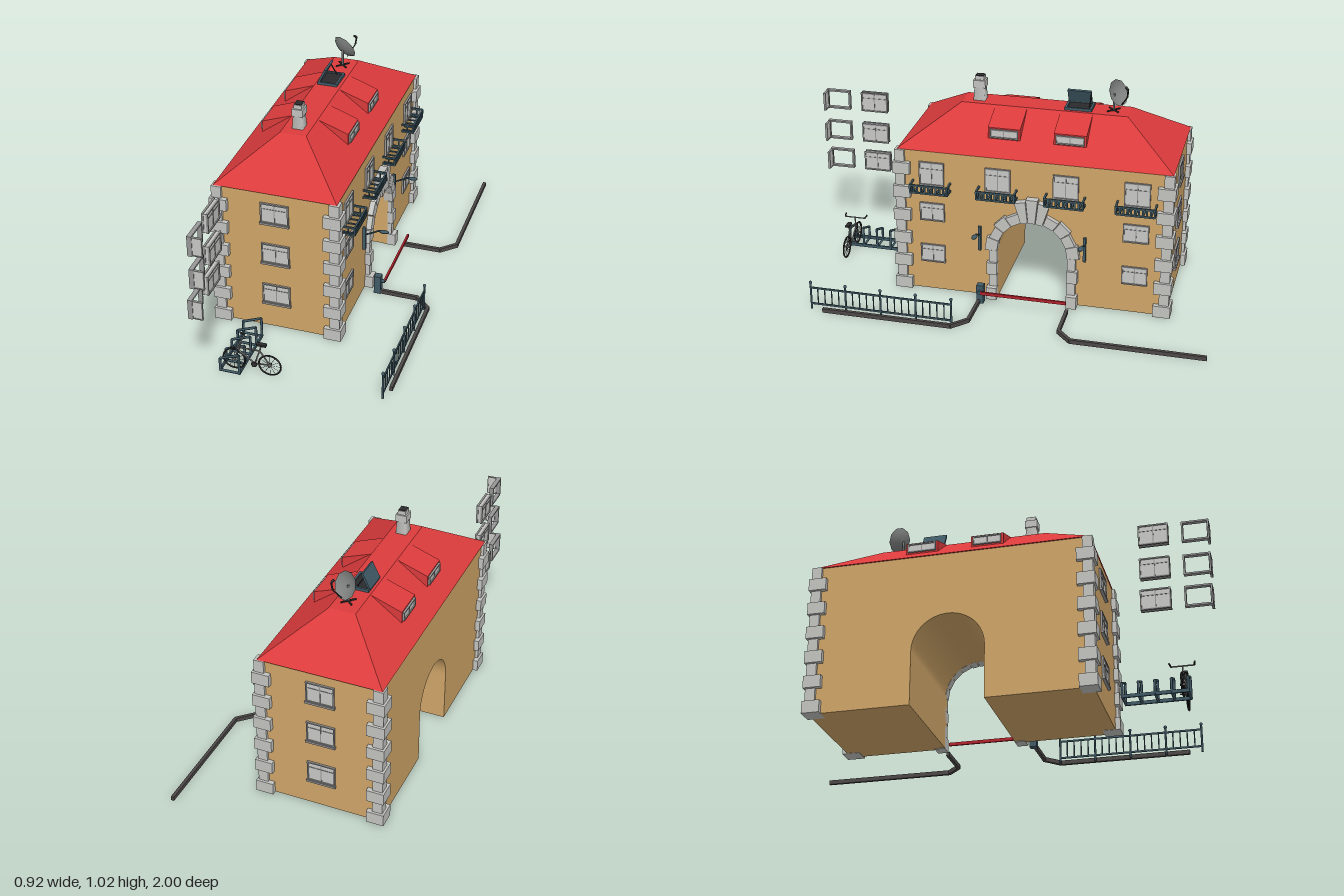
import * as THREE from 'three';
import { ConvexGeometry } from 'three/addons/geometries/ConvexGeometry.js';

const mat = (name, color, extra = {}) => Object.assign(new THREE.MeshStandardMaterial({ color, ...extra }), { name });
const V = (x, y, z) => new THREE.Vector3(x, y, z);

export function createModel() {
  const wall = mat('wall ochre', 0xcfa568), roofRed = mat('roof red', 0xdb3b3c);
  const stone = mat('stone grey', 0xc3c3c0), pane = mat('pane grey', 0xc8c8c6);
  const frameGrey = mat('frame grey', 0x979797), iron = mat('iron blue', 0x405a66);
  const black = mat('black', 0x2a2a2c), kerbGrey = mat('kerb grey', 0x4d4848);
  const steel = mat('steel grey', 0x7f8080, { side: THREE.DoubleSide }), barRed = mat('barrier red', 0xb5222c);
  const root = new THREE.Group();

  const group = (name, parent = root) => { const g = new THREE.Group(); g.name = name; parent.add(g); return g; };
  const add = (parent, name, geo, m) => { const o = new THREE.Mesh(geo, m); o.name = name; parent.add(o); return o; };
  // Box given by its min and max corners
  const box = (parent, name, m, x0, x1, y0, y1, z0, z1) => {
    const o = add(parent, name, new THREE.BoxGeometry(x1 - x0, y1 - y0, z1 - z0), m);
    o.position.set((x0 + x1) / 2, (y0 + y1) / 2, (z0 + z1) / 2);
    return o;
  };
  const rod = (parent, name, m, a, b, r = 0.004, sides = 6) => {
    const d = b.clone().sub(a);
    const o = add(parent, name, new THREE.CylinderGeometry(r, r, d.length(), sides), m);
    o.position.copy(a).addScaledVector(d, 0.5);
    o.quaternion.setFromUnitVectors(V(0, 1, 0), d.normalize());
    return o;
  };
  const hull = (parent, name, m, pts) => add(parent, name, new ConvexGeometry(pts), m);

  // Walls with the arched passage; shape u axis runs along -z
  const AC = 0.145, AR = 0.165, SPRING = 0.252;
  const s = new THREE.Shape();
  s.moveTo(-0.49, 0.003); s.lineTo(AC - AR, 0.003); s.lineTo(AC - AR, SPRING);
  s.absarc(AC, SPRING, AR, Math.PI, 0, true);
  s.lineTo(AC + AR, 0.003); s.lineTo(0.77, 0.003); s.lineTo(0.77, 0.71); s.lineTo(-0.49, 0.71);
  const body = add(root, 'walls', new THREE.ExtrudeGeometry(s, { depth: 0.56, bevelEnabled: false, curveSegments: 20 }), wall);
  body.rotation.y = Math.PI / 2; body.position.x = -0.44;

  // Hipped roof with flat top, and two dormers passing through it
  const roof = group('roof');
  const pts = [];
  for (const [x0, x1, y, z0, z1] of [[-0.447, 0.122, 0.71, -0.778, 0.495], [-0.222, -0.1, 0.877, -0.53, 0.245]])
    for (const x of [x0, x1]) for (const z of [z0, z1]) pts.push(V(x, y, z));
  hull(roof, 'mainRoof', roofRed, pts);
  for (const zc of [0.01, -0.295]) {
    const p = [];
    for (const z of [zc - 0.075, zc + 0.075])
      for (const [x, y] of [[-0.367, 0.76], [0.042, 0.76], [0.042, 0.824], [-0.1, 0.876], [-0.222, 0.876], [-0.367, 0.824]]) p.push(V(x, y, z));
    hull(roof, 'dormer', roofRed, p);
    for (const [x, d] of [[0.042, 1], [-0.367, -1]]) {
      const w = makeWindow(0.125, 0.036, false, roof);
      w.position.set(x, 0.797, zc); w.rotation.y = d * Math.PI / 2;
    }
  }

  // Window facing +z, centred on its opening
  function makeWindow(w, h, sill, parent = root) {
    const g = group('window', parent), b = 0.006;
    box(g, 'glass', pane, -w / 2, w / 2, -h / 2, h / 2, 0, 0.004);
    for (const k of [-1, 1]) {
      box(g, 'frameSide', frameGrey, k * w / 2 - b / 2, k * w / 2 + b / 2, -h / 2, h / 2, 0, 0.009);
      box(g, 'frameRail', frameGrey, -w / 2 - b / 2, w / 2 + b / 2, k * h / 2 - b / 2, k * h / 2 + b / 2, 0, 0.009);
    }
    box(g, 'mullion', frameGrey, -0.002, 0.002, -h / 2, h / 2, 0, 0.006);
    if (h > 0.05) box(g, 'transom', frameGrey, -w / 2, w / 2, h * 0.2, h * 0.2 + 0.003, 0, 0.006);
    if (sill) box(g, 'sill', frameGrey, -w / 2 - 0.006, w / 2 + 0.006, -h / 2 - 0.01, -h / 2, 0, 0.014);
    return g;
  }
  for (const y of [0.61, 0.4, 0.183]) {
    makeWindow(0.125, 0.095, true).position.set(-0.165, y, 0.49);
    const w = makeWindow(0.125, 0.095, true);
    w.position.set(-0.165, y, -0.77); w.rotation.y = Math.PI;
  }
  const cols = [0.332, 0.02, -0.295, -0.62];
  cols.forEach((z, i) => {
    for (const y of i % 3 ? [0.6] : [0.6, 0.407, 0.192]) {
      const w = makeWindow(0.112, y === 0.6 ? 0.11 : 0.085, false);
      w.position.set(0.12, y, z); w.rotation.y = Math.PI / 2;
    }
  });

  // Balconies
  for (const z of cols) {
    const g = group('balcony'), a = z - 0.088, b = z + 0.088, x = 0.178;
    for (const y of [0.524, 0.56]) {
      box(g, 'rail', iron, x - 0.004, x + 0.004, y - 0.004, y + 0.004, a, b);
      for (const e of [a, b]) box(g, 'sideRail', iron, 0.12, x, y - 0.004, y + 0.004, e - 0.004, e + 0.004);
    }
    for (let i = 0; i <= 10; i++) {
      const zz = a + (b - a) * i / 10;
      box(g, 'baluster', iron, x - 0.003, x + 0.003, 0.524, 0.56, zz - 0.004, zz + 0.004);
      if (i % 2) box(g, 'floorBar', iron, 0.12, x, 0.52, 0.525, zz - 0.004, zz + 0.004);
    }
    for (const e of [a, b]) box(g, 'sideBaluster', iron, 0.146, 0.152, 0.524, 0.56, e - 0.003, e + 0.003);
  }

  // Corner stones, alternately long and short
  const quoins = group('cornerStones'), H = 0.71 / 12;
  for (const [cx, sx] of [[-0.44, -1], [0.12, 1]]) for (const [cz, sz] of [[-0.77, -1], [0.49, 1]])
    for (let i = 0; i < 12; i++) {
      const big = i % 2 === 0, out = big ? 0.023 : 0.014, inn = big ? 0.058 : 0.032;
      const X = [cx + sx * out, cx - sx * inn].sort((a, b) => a - b), Z = [cz + sz * out, cz - sz * inn].sort((a, b) => a - b);
      box(quoins, 'cornerStone', stone, ...X, i * H + 0.002, (i + 1) * H, ...Z);
    }

  // Arch stones: legs, then wedges, with three tall ones at the crown
  const arch = group('archStones');
  for (const k of [-1, 1]) for (let i = 0; i < 4; i++) {
    const o = i % 2 ? 0.204 : 0.214, h = SPRING / 4;
    const Z = [-AC + k * AR, -AC + k * o].sort((a, b) => a - b);
    box(arch, 'legStone', stone, 0.1, i ? (i % 2 ? 0.14 : 0.148) : 0.16, i * h, (i + 1) * h - 0.002, ...Z);
  }
  const cuts = [0, 18, 36, 54, 72, 84, 96, 108, 126, 144, 162, 180];
  for (let i = 0; i < 11; i++) {
    const tall = i > 3 && i < 7, p = [];
    const R = tall ? (i === 5 ? 0.282 : 0.27) : (i % 2 ? 0.212 : 0.222);
    for (const a of [cuts[i] + 0.4, cuts[i + 1] - 0.4]) for (const r of [AR, R]) for (const x of [0.1, tall ? 0.155 : 0.145]) {
      const t = a * Math.PI / 180;
      p.push(V(x, SPRING + r * Math.sin(t), -AC + r * Math.cos(t)));
    }
    hull(arch, 'wedgeStone', stone, p);
  }

  // Wall lamps beside the arch
  for (const z of [0.105, -0.388]) {
    const g = group('wallLamp');
    box(g, 'bracket', iron, 0.12, 0.135, 0.24, 0.36, z - 0.006, z + 0.006);
    const c = new THREE.CatmullRomCurve3([V(0.13, 0.32, z), V(0.165, 0.337, z), V(0.195, 0.353, z), V(0.215, 0.355, z)]);
    add(g, 'arm', new THREE.TubeGeometry(c, 8, 0.004, 6), iron);
    const head = add(g, 'lampHead', new THREE.SphereGeometry(0.024, 10, 6), iron);
    head.scale.set(1, 0.3, 0.55); head.position.set(0.222, 0.353, z);
  }

  // Chimney
  const ch = group('chimney');
  const stack = add(ch, 'stack', new THREE.CylinderGeometry(0.026, 0.036, 0.13, 4, 1).rotateY(Math.PI / 4).scale(1.05, 1, 1.15), stone);
  stack.position.set(-0.157, 0.915, 0.17); stack.material = stone;
  box(ch, 'lip', stone, -0.183, -0.131, 0.94, 0.975, 0.141, 0.199);
  box(ch, 'crown', stone, -0.176, -0.138, 0.975, 0.994, 0.148, 0.192);
  box(ch, 'flue', black, -0.173, -0.141, 0.992, 0.997, 0.151, 0.189);

  // Open roof hatch
  const hatch = group('roofHatch');
  box(hatch, 'opening', black, -0.2, -0.125, 0.87, 0.884, -0.35, -0.245);
  for (const z of [-0.355, -0.24]) box(hatch, 'hatchSide', iron, -0.205, -0.12, 0.87, 0.89, z - 0.005, z + 0.005);
  for (const x of [-0.205, -0.12]) box(hatch, 'hatchEnd', iron, x - 0.005, x + 0.005, 0.87, 0.89, -0.36, -0.235);
  const lid = box(hatch, 'lid', iron, -0.005, 0.005, -0.04, 0.04, -0.055, 0.055);
  lid.position.set(-0.19, 0.919, -0.292); lid.rotation.z = -0.46;
  rod(hatch, 'stay', black, V(-0.15, 0.885, -0.345), V(-0.18, 0.935, -0.345), 0.003);

  // Satellite dish
  const dish = group('satelliteDish');
  rod(dish, 'mast', steel, V(-0.157, 0.87, -0.455), V(-0.157, 0.96, -0.455), 0.005);
  for (const k of [-1, 1]) rod(dish, 'foot', black, V(-0.157 - 0.025, 0.882, -0.455 + k * 0.025), V(-0.157 + 0.025, 0.882, -0.455 - k * 0.025), 0.004);
  const n = V(0.4, 0.42, -0.8).normalize();
  const bowl = add(dish, 'bowl', new THREE.LatheGeometry([[0.0001, 0], [0.025, 0.004], [0.045, 0.012], [0.063, 0.025]].map(q => new THREE.Vector2(...q)), 10), steel);
  bowl.position.set(-0.162, 0.958, -0.455); bowl.quaternion.setFromUnitVectors(V(0, 1, 0), n);
  rod(dish, 'feedArm', black, V(-0.145, 0.91, -0.49), V(-0.115, 0.965, -0.522), 0.003);
  rod(dish, 'feedStem', black, V(-0.115, 0.965, -0.522), V(-0.11, 1.0, -0.525), 0.004);
  rod(dish, 'feedHead', black, V(-0.11, 1.0, -0.525), V(-0.118, 1.012, -0.513), 0.006);

  // Kerbs
  const kerbs = group('kerbs');
  for (const path of [[[0.2, -0.325], [0.385, -0.325], [0.453, -0.39], [0.453, -1]], [[0.2, 0.092], [0.385, 0.095], [0.453, 0.16], [0.453, 0.77]]])
    for (let i = 0; i < 3; i++) {
      const [[x0, z0], [x1, z1]] = [path[i], path[i + 1]];
      const L = Math.hypot(x1 - x0, z1 - z0);
      const o = add(kerbs, 'kerb', new THREE.BoxGeometry(L + (i === 1 ? 0.008 : 0), 0.02, 0.015), kerbGrey);
      o.position.set((x0 + x1) / 2, 0.01, (z0 + z1) / 2); o.rotation.y = -Math.atan2(z1 - z0, x1 - x0);
    }

  // Barrier
  const bar = group('barrier');
  box(bar, 'barrierPost', iron, 0.175, 0.207, 0, 0.093, 0.07, 0.103);
  rod(bar, 'pivot', iron, V(0.2, 0.064, 0.086), V(0.224, 0.064, 0.086), 0.009);
  box(bar, 'barrierArm', barRed, 0.217, 0.226, 0.056, 0.071, -0.325, 0.08);

  // Fence
  const fence = group('fence'), fx = 0.434;
  for (const y of [0.028, 0.11]) box(fence, 'fenceRail', iron, fx - 0.003, fx + 0.003, y - 0.004, y + 0.004, 0.16, 0.83);
  for (let i = 0; i <= 20; i++) {
    const z = 0.16 + i * 0.0335;
    if (i % 5) { rod(fence, 'fenceBar', iron, V(fx, 0.028, z), V(fx, 0.11, z), 0.003); continue; }
    rod(fence, 'fencePost', iron, V(fx, 0, z), V(fx, 0.135, z), 0.005);
    add(fence, 'finial', new THREE.SphereGeometry(0.008, 8, 6), iron).position.set(fx, 0.136, z);
  }

  // Bicycle rack
  const rack = group('bicycleRack');
  for (const x of [-0.296, -0.207]) box(rack, 'rackRail', iron, x - 0.004, x + 0.004, 0, 0.015, 0.58, 0.868);
  for (let i = 0; i < 5; i++) {
    const z = 0.584 + i * 0.07, q = [V(-0.296, 0.006, z), V(-0.296, 0.068, z), V(-0.207, 0.104, z), V(-0.207, 0.006, z)];
    q.forEach((p, j) => rod(rack, 'hoop', iron, p, q[(j + 1) % 4], 0.006));
  }

  // Bicycle
  const bike = group('bicycle'), B = (x, y, z = 0) => V(x, y, 0.835 + z);
  const hubs = [B(-0.24, 0.06), B(-0.075, 0.06)];
  for (const h of hubs) {
    add(bike, 'tyre', new THREE.TorusGeometry(0.051, 0.004, 6, 20), black).position.copy(h);
    for (let i = 0; i < 6; i++) {
      const d = V(Math.cos(i * Math.PI / 6), Math.sin(i * Math.PI / 6), 0).multiplyScalar(0.05);
      rod(bike, 'spokes', black, h.clone().sub(d), h.clone().add(d), 0.001, 4);
    }
    rod(bike, 'hub', steel, h.clone().add(V(0, 0, -0.012)), h.clone().add(V(0, 0, 0.012)), 0.006);
  }
  const crank = B(-0.145, 0.055), head = B(-0.212, 0.125), low = B(-0.217, 0.11), seat = B(-0.12, 0.128);
  for (const [a, b] of [[head, seat], [low, crank], [crank, seat], [crank, hubs[1]], [seat, hubs[1]], [hubs[0], head], [head, B(-0.206, 0.155)], [seat, B(-0.112, 0.16)]])
    rod(bike, 'frameTube', steel, a, b, 0.0035);
  rod(bike, 'handlebar', steel, B(-0.208, 0.158, -0.05), B(-0.208, 0.158, 0.05), 0.0035);
  for (const k of [-1, 1]) rod(bike, 'grip', black, B(-0.208, 0.158, k * 0.05), B(-0.232, 0.164, k * 0.055), 0.004);
  box(bike, 'saddle', black, -0.133, -0.088, 0.159, 0.168, 0.825, 0.845);
  rod(bike, 'chainring', black, B(-0.145, 0.055, 0.006), B(-0.145, 0.055, 0.01), 0.014, 12);
  rod(bike, 'pedalAxle', steel, B(-0.145, 0.055, -0.025), B(-0.145, 0.055, 0.025), 0.003);

  // Loose window units: one closed, one empty frame with its sash swung out
  for (const [y, x] of [[0.728, -0.345], [0.566, -0.345], [0.408, -0.36]]) {
    const closed = group('closedWindow');
    box(closed, 'core', pane, x - 0.01, x + 0.002, y - 0.045, y + 0.045, 0.692, 0.818);
    for (const d of [-1, 1]) {
      const w = makeWindow(0.126, 0.09, false, closed);
      w.position.set(d > 0 ? x + 0.002 : x - 0.01, y, 0.755); w.rotation.y = d * Math.PI / 2;
    }
    const open = group('openWindow'), t = 0.008;
    for (const z of [0.878, 0.99]) box(open, 'jamb', frameGrey, x - 0.01, x + 0.01, y - 0.048, y + 0.048, z, z + t);
    for (const k of [-0.048, 0.04]) box(open, 'lintel', frameGrey, x - 0.01, x + 0.01, y + k, y + k + t, 0.878, 0.998);
    box(open, 'sash', pane, x + 0.008, x + 0.055, y - 0.042, y + 0.044, 0.989, 0.995);
    for (const X of [x + 0.008, x + 0.052]) box(open, 'sashEdge', frameGrey, X, X + 0.004, y - 0.044, y + 0.046, 0.987, 0.998);
    for (const Y of [y - 0.044, y + 0.042]) box(open, 'sashRail', frameGrey, x + 0.008, x + 0.056, Y, Y + 0.004, 0.987, 0.998);
  }
  return root;
}
